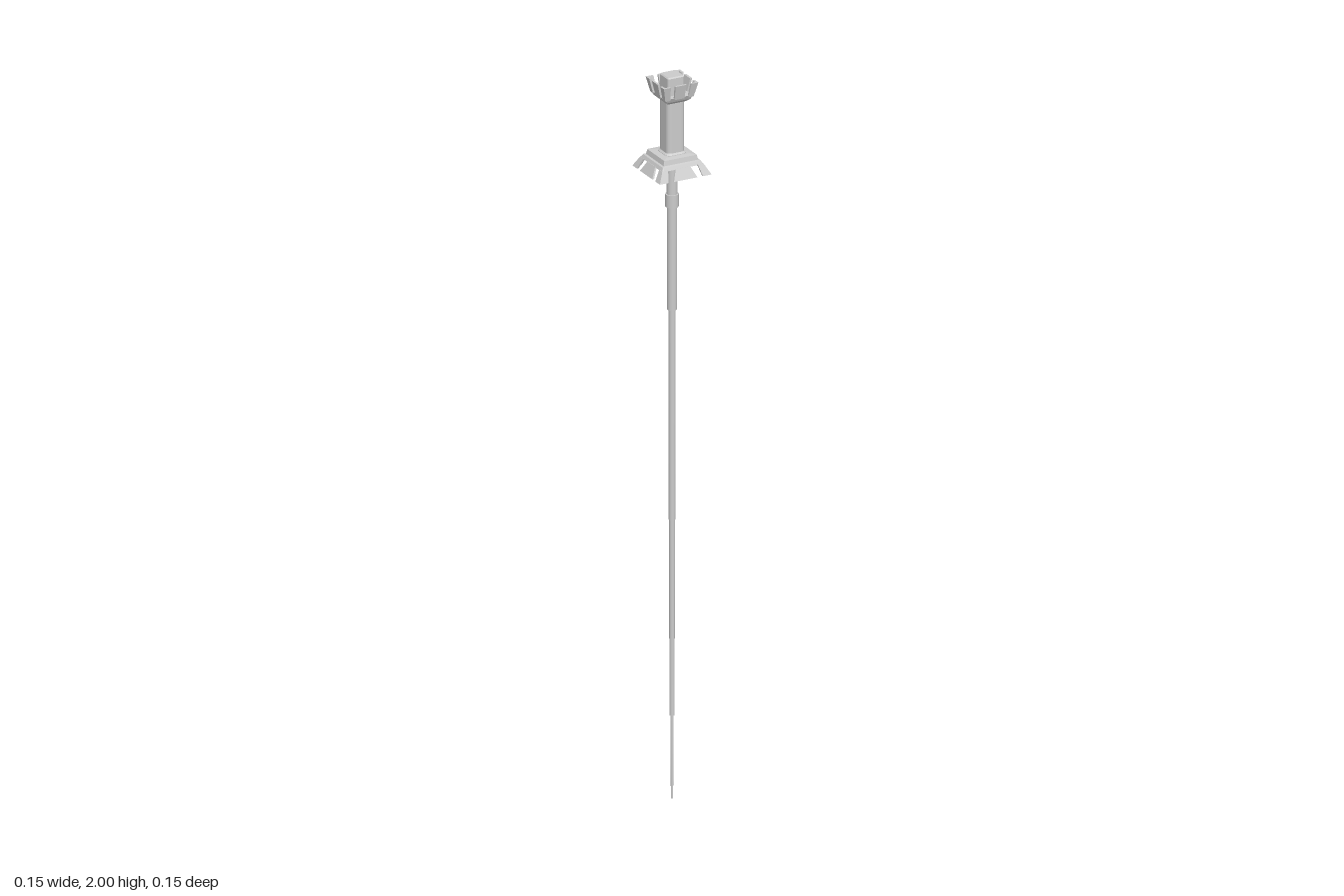
import * as THREE from 'three';

const material = new THREE.MeshStandardMaterial({ color: 0xcccccc, flatShading: true });
const shaftMaterial = new THREE.MeshStandardMaterial({ color: 0xcccccc });

function add(parent, name, geometry, mat = material) {
  const mesh = new THREE.Mesh(geometry, mat);
  mesh.name = name;
  parent.add(mesh);
  return mesh;
}

// Rounded square prism through sections [halfWidth, y], capped at both ends
function squareLoft(sections, rounding) {
  const ring = [];
  for (let corner = 0; corner < 4; corner++) {
    for (let i = 0; i <= 3; i++) {
      const a = (corner + i / 3) * Math.PI / 2;
      const mid = (corner + 0.5) * Math.PI / 2;
      ring.push([
        Math.sign(Math.cos(mid)) * (1 - rounding) + Math.cos(a) * rounding,
        Math.sign(Math.sin(mid)) * (1 - rounding) + Math.sin(a) * rounding,
      ]);
    }
  }
  const n = ring.length, pos = [], index = [];
  for (const [h, y] of sections) for (const [x, z] of ring) pos.push(x * h, y, z * h);
  for (let s = 0; s < sections.length - 1; s++) {
    for (let i = 0; i < n; i++) {
      const a = s * n + i, b = s * n + (i + 1) % n;
      index.push(a, a + n, b, b, a + n, b + n);
    }
  }
  const top = (sections.length - 1) * n;
  for (let i = 1; i < n - 1; i++) {
    index.push(0, i, i + 1);
    index.push(top, top + i + 1, top + i);
  }
  const indexed = new THREE.BufferGeometry();
  indexed.setAttribute('position', new THREE.Float32BufferAttribute(pos, 3));
  indexed.setIndex(index);
  const g = indexed.toNonIndexed();
  g.computeVertexNormals();
  return g;
}

// Sloping slab facing +z; each edge is { x0, x1, y, d }, d = distance from the axis
function panel(bottom, top, thickness) {
  const g = new THREE.BoxGeometry(1, 1, 1).toNonIndexed();
  const p = g.attributes.position;
  for (let i = 0; i < p.count; i++) {
    const edge = p.getY(i) < 0 ? bottom : top;
    const x = p.getX(i) < 0 ? edge.x0 : edge.x1;
    const inner = p.getZ(i) < 0;
    const d = edge.d - (inner ? thickness : 0);
    // Keep the mitred corners together on the inside
    const limit = inner && Math.abs(x) >= edge.d - 1e-6 ? Math.sign(x) * d : x;
    p.setXYZ(i, limit, edge.y, d);
  }
  g.computeVertexNormals();
  return g;
}

// Middle tab and two half corners on each of four sides
function flaredTabs(name, bottom, top, thickness) {
  const group = new THREE.Group();
  group.name = name;
  const edge = (e, x0, x1) => ({ x0, x1, y: e.y, d: e.d });
  for (let side = 0; side < 4; side++) {
    const face = new THREE.Group();
    face.name = name + 'Side';
    face.rotation.y = side * Math.PI / 2;
    add(face, 'middleTab', panel(edge(bottom, -bottom.mid, bottom.mid), edge(top, -top.mid, top.mid), thickness));
    add(face, 'leftCornerTab', panel(edge(bottom, bottom.corner, bottom.d), edge(top, top.corner, top.d), thickness));
    add(face, 'rightCornerTab', panel(edge(bottom, -bottom.d, -bottom.corner), edge(top, -top.d, -top.corner), thickness));
    group.add(face);
  }
  return group;
}

export function createModel() {
  const model = new THREE.Group();
  model.name = 'longSpike';

  // Telescoping shaft: [name, bottom radius, top radius, bottom y, top y]
  const shaft = [
    ['tip', 0.003, 0.0045, 0, 0.24],
    ['lowerShaft', 0.0068, 0.0075, 0.23, 0.78],
    ['middleShaft', 0.0085, 0.009, 0.77, 1.36],
    ['upperShaft', 0.0125, 0.0135, 1.35, 1.64],
    ['collar', 0.0175, 0.0175, 1.635, 1.67],
    ['neck', 0.014, 0.014, 1.665, 1.77],
  ];
  for (const [name, r0, r1, y0, y1] of shaft) {
    add(model, name, new THREE.CylinderGeometry(r1, r0, y1 - y0, 16), shaftMaterial).position.y = (y0 + y1) / 2;
  }

  // Guard: stepped plate with a slotted skirt
  add(model, 'guardPlate', squareLoft([[0.06, 1.761], [0.055, 1.77], [0.05, 1.772], [0.047, 1.785], [0.034, 1.787]], 0.04));
  model.add(flaredTabs('guardSkirt',
    { y: 1.735, d: 0.075, mid: 0.034, corner: 0.05 },
    { y: 1.7625, d: 0.06, mid: 0.021, corner: 0.043 }, 0.005));

  // Grip with small bands at both ends
  add(model, 'grip', squareLoft([[0.0255, 1.78], [0.0255, 1.945]], 0.45));
  add(model, 'gripBand', squareLoft([[0.03, 1.78], [0.03, 1.788], [0.0255, 1.792]], 0.45));

  // Crown: floor, upright tabs and centre block
  add(model, 'crownFloor', squareLoft([[0.027, 1.93], [0.036, 1.938], [0.042, 1.95]], 0.08));
  model.add(flaredTabs('crownTabs',
    { y: 1.945, d: 0.041, mid: 0.014, corner: 0.026 },
    { y: 1.985, d: 0.05, mid: 0.016, corner: 0.03 }, 0.006));
  add(model, 'centreBlock', squareLoft([[0.024, 1.94], [0.024, 1.997], [0.021, 2]], 0.2));

  return model;
}
